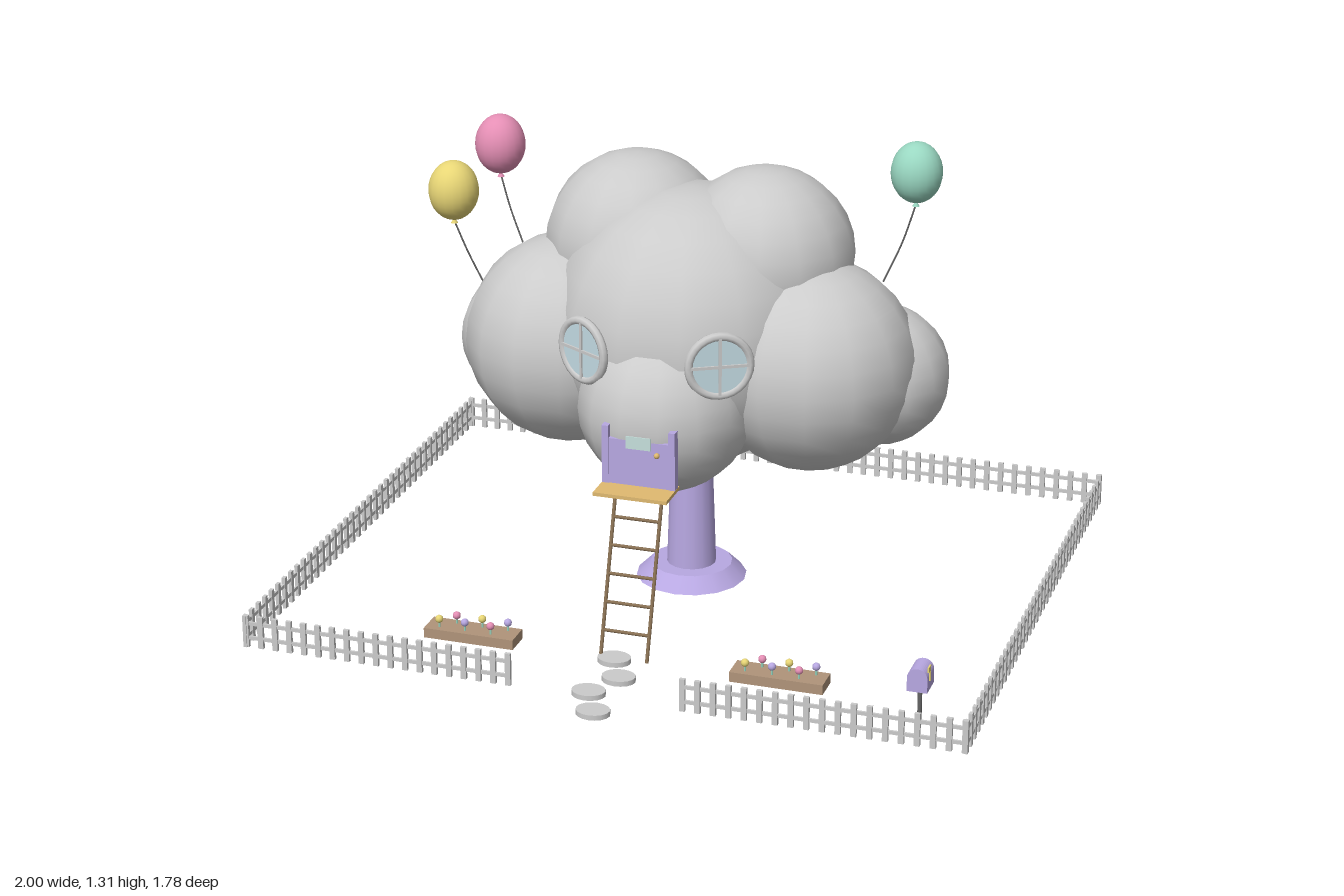
import * as THREE from 'three';
import { mergeGeometries } from 'three/addons/utils/BufferGeometryUtils.js';

const mat = (color, opts = {}) => new THREE.MeshStandardMaterial({ color, ...opts });
const grey = mat(0xcccccc), lilac = mat(0xb8a8e2), wood = mat(0x8c7355), tan = mat(0xe0ba70);
const planter = mat(0xb0947a), pink = mat(0xe58fb5), yellow = mat(0xe8d676), green = mat(0x9ad8c2);
const glass = mat(0xc4dce4), dark = mat(0x666666);

export function createModel() {
  const root = new THREE.Group();

  const add = (name, geo, material, x = 0, y = 0, z = 0, parent = root) => {
    const m = new THREE.Mesh(geo, material);
    m.name = name;
    m.position.set(x, y, z);
    parent.add(m);
    return m;
  };
  const box = (w, h, d) => new THREE.BoxGeometry(w, h, d);
  const group = (name, x = 0, y = 0, z = 0) => {
    const g = new THREE.Group();
    g.name = name;
    g.position.set(x, y, z);
    root.add(g);
    return g;
  };
  // Thin round bar between two points
  const bar = (name, a, b, r, material, parent) => {
    const p = new THREE.Vector3(...a), q = new THREE.Vector3(...b), d = q.clone().sub(p);
    const m = add(name, new THREE.CylinderGeometry(r, r, d.length(), 6), material, 0, 0, 0, parent);
    m.position.copy(p).add(q).multiplyScalar(0.5);
    m.quaternion.setFromUnitVectors(new THREE.Vector3(0, 1, 0), d.normalize());
    return m;
  };

  // Cloud house: overlapping puffs [x, y, z, radius]
  const cloud = group('cloud');
  [
    [0, 0.765, -0.055, 0.39],
    [0, 0.61, 0.172, 0.24],
    [-0.345, 0.69, -0.037, 0.293], [0.345, 0.69, -0.037, 0.293],
    [-0.508, 0.638, -0.148, 0.195], [0.508, 0.638, -0.148, 0.195],
    [-0.182, 0.955, -0.134, 0.256], [0.19, 0.957, -0.112, 0.25],
  ].forEach(([x, y, z, r]) => add('cloudPuff', new THREE.SphereGeometry(r, 14, 14), grey, x, y, z, cloud));

  // Trunk and flared foot
  add('trunk', new THREE.CylinderGeometry(0.056, 0.07, 0.42, 16), lilac, 0, 0.23, -0.053);
  add('trunkFoot', new THREE.CylinderGeometry(0.115, 0.155, 0.04, 16), lilac, 0, 0.03, -0.053);

  // Round windows, turned outwards
  for (const s of [-1, 1]) {
    const w = group('window', s * 0.19, 0.785, 0.298);
    w.rotation.y = s * 0.52;
    add('windowRing', new THREE.TorusGeometry(0.083, 0.012, 8, 28), grey, 0, 0, 0, w);
    const pane = add('windowPane', new THREE.CylinderGeometry(0.083, 0.083, 0.012, 28), glass, 0, 0, 0, w);
    pane.rotation.x = Math.PI / 2;
    add('windowBarUpright', box(0.008, 0.16, 0.01), grey, 0, 0, 0.006, w);
    add('windowBarLevel', box(0.16, 0.008, 0.01), grey, 0, 0, 0.006, w);
  }

  // Door with side posts, pane and knob
  add('door', box(0.18, 0.135, 0.018), lilac, 0, 0.52, 0.395);
  add('doorPane', box(0.07, 0.035, 0.01), mat(0xc6e0dc), 0, 0.583, 0.403);
  for (const s of [-1, 1]) add('doorPost', box(0.018, 0.17, 0.028), lilac, s * 0.093, 0.538, 0.393);
  add('doorKnob', new THREE.SphereGeometry(0.008, 10, 8), tan, 0.053, 0.556, 0.411);

  // Platform and ladder
  add('platform', box(0.205, 0.01, 0.11), tan, 0, 0.455, 0.425);
  const ladder = group('ladder');
  const ladderZ = (y) => 0.535 - (y - 0.01) * 0.31;
  for (const s of [-1, 1]) {
    bar('ladderRail', [s * 0.065, 0.01, ladderZ(0.01)], [s * 0.065, 0.45, ladderZ(0.45)], 0.005, wood, ladder);
  }
  for (let i = 0; i < 6; i++) {
    const y = 0.08 + i * 0.073;
    bar('ladderRung', [-0.065, y, ladderZ(y)], [0.065, y, ladderZ(y)], 0.0045, wood, ladder);
  }

  // Picket fence runs, open at the front for the path
  const fenceRun = (x0, z0, x1, z1) => {
    const len = Math.hypot(x1 - x0, z1 - z0), n = Math.round(len / 0.0425), parts = [];
    for (let i = 0; i <= n; i++) {
      parts.push(box(0.015, 0.092, 0.01).translate(-len / 2 + (len * i) / n, 0.055, 0));
    }
    for (const y of [0.036, 0.078]) parts.push(box(len, 0.01, 0.006).translate(0, y, 0));
    const f = add('fence', mergeGeometries(parts), grey, (x0 + x1) / 2, 0, (z0 + z1) / 2);
    f.rotation.y = -Math.atan2(z1 - z0, x1 - x0);
  };
  fenceRun(-0.99, -0.887, 0.99, -0.887);
  for (const s of [-1, 1]) {
    fenceRun(s * 0.993, -0.887, s * 0.993, 0.767);
    fenceRun(s * 0.24, 0.767, s * 0.99, 0.767);
  }

  // Stepping stones
  for (let i = 0; i < 4; i++) {
    const stone = add('steppingStone', new THREE.CylinderGeometry(0.046, 0.046, 0.014, 16), grey,
      i % 2 ? 0.024 : -0.024, 0.012, 0.542 + i * 0.102);
    stone.scale.z = 0.82;
  }

  // Flower beds
  for (const s of [-1, 1]) {
    const bed = group('flowerBed', s * 0.432, 0, 0.53);
    add('planterBox', box(0.256, 0.028, 0.075), planter, 0, 0.022, 0, bed);
    for (let i = 0; i < 6; i++) {
      const x = -0.09 + i * 0.037, z = i % 2 ? -0.017 : 0.018;
      add('flowerStem', new THREE.CylinderGeometry(0.003, 0.003, 0.03, 6), green, x, 0.045, z, bed);
      add('flowerHead', new THREE.SphereGeometry(0.011, 10, 8), [yellow, pink, lilac][i % 3], x, 0.06, z, bed);
    }
  }

  // Mailbox with arched top and flag
  const mail = group('mailbox', 0.838, 0, 0.638);
  add('mailboxPost', new THREE.CylinderGeometry(0.006, 0.006, 0.115, 8), dark, 0, 0.06, 0, mail);
  const arch = new THREE.Shape();
  arch.moveTo(-0.027, 0);
  arch.lineTo(0.027, 0);
  arch.lineTo(0.027, 0.038);
  arch.absarc(0, 0.038, 0.027, 0, Math.PI);
  const body = new THREE.ExtrudeGeometry(arch, { depth: 0.07, bevelEnabled: false, curveSegments: 10 });
  add('mailboxBody', body, lilac, 0, 0.11, -0.035, mail);
  add('mailboxFlagStem', box(0.004, 0.04, 0.005), yellow, 0.029, 0.16, 0.018, mail);
  add('mailboxFlag', box(0.004, 0.014, 0.022), yellow, 0.029, 0.177, 0.026, mail);

  // Balloons: centre, then where the string meets the cloud
  [
    [pink, [-0.583, 1.193, -0.135], [-0.512, 0.92, -0.11]],
    [yellow, [-0.678, 1.085, -0.018], [-0.595, 0.81, -0.03]],
    [green, [0.6, 1.225, -0.145], [0.517, 0.91, -0.135]],
  ].forEach(([material, c, end]) => {
    const g = group('balloon');
    add('balloonBody', new THREE.SphereGeometry(0.07, 20, 16), material, ...c, g).scale.y = 1.2;
    add('balloonKnot', new THREE.ConeGeometry(0.01, 0.016, 8), material, c[0], c[1] - 0.087, c[2], g);
    const a = new THREE.Vector3(c[0], c[1] - 0.09, c[2]), b = new THREE.Vector3(...end);
    const mid = a.clone().lerp(b, 0.5).add(new THREE.Vector3(Math.sign(c[0]) * 0.006, 0, -0.004));
    const string = new THREE.CatmullRomCurve3([a, mid, b]);
    add('balloonString', new THREE.TubeGeometry(string, 10, 0.0025, 5), dark, 0, 0, 0, g);
  });

  return root;
}
